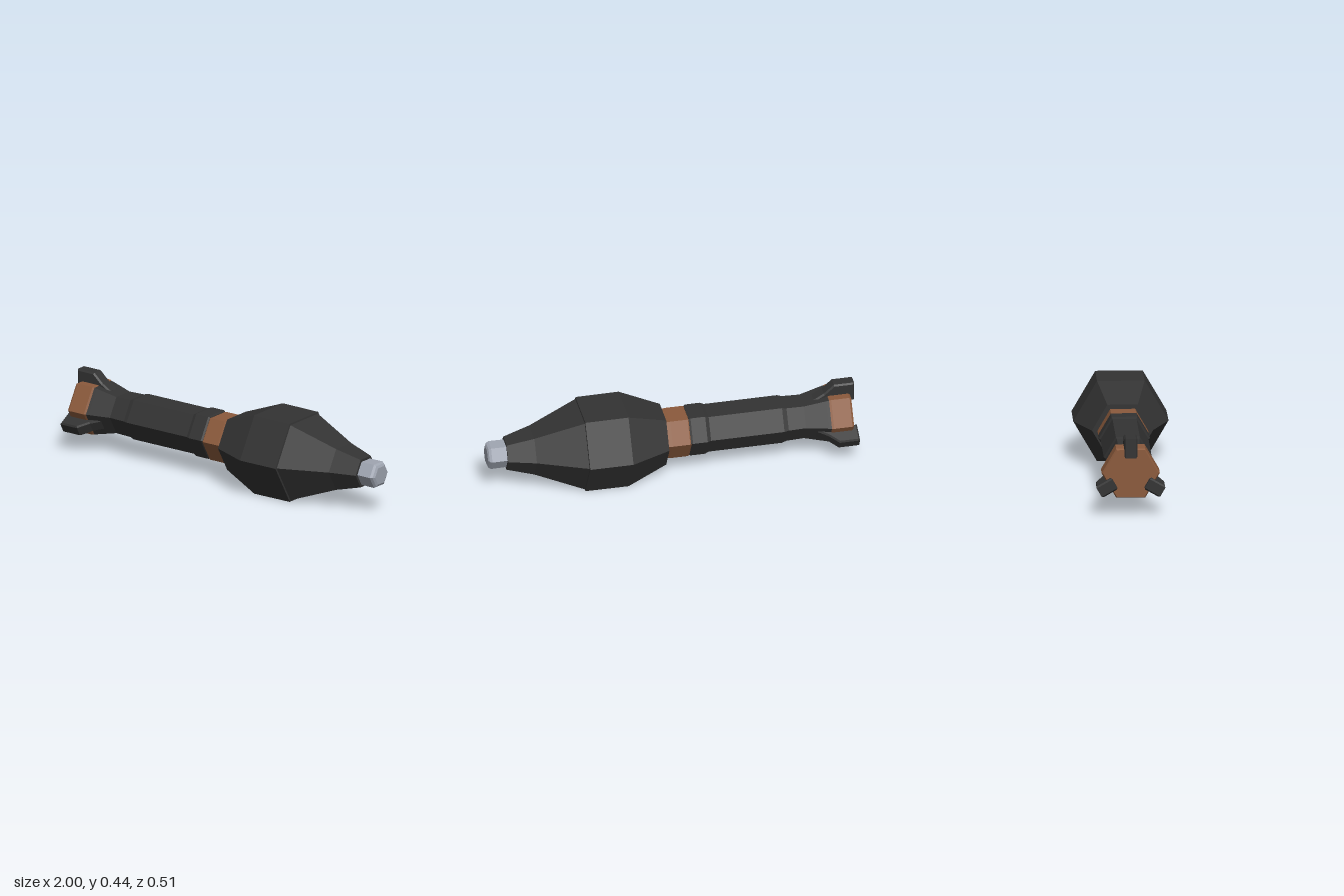
import * as THREE from 'three';

const material = (color) => new THREE.MeshStandardMaterial({ color, flatShading: true });

export function createModel() {
  const model = new THREE.Group();
  const dark = material(0x333333);
  const copper = material(0x8b5a3c);
  const steel = material(0xa0a6b2);
  const bodyY = 0.229, headY = 0.221;

  // Closed six-sided turned part along x; profile is [x, corner radius] from tail to nose
  function hexPart(name, mat, y, profile) {
    const last = profile.length - 1;
    const points = [[profile[0][0], 0], ...profile, [profile[last][0], 0]]
      .map(([x, r]) => new THREE.Vector2(r, x));
    const geometry = new THREE.LatheGeometry(points, 6);
    geometry.rotateZ(-Math.PI / 2);
    const mesh = new THREE.Mesh(geometry, mat);
    mesh.name = name;
    mesh.position.y = y;
    model.add(mesh);
  }

  // Tail, motor tube and collar
  hexPart('tailBand', copper, bodyY, [
    [-0.975, 0.148], [-0.965, 0.155], [-0.865, 0.155], [-0.85, 0.15],
  ]);
  hexPart('motorTube', dark, bodyY, [
    [-0.857, 0.152], [-0.84, 0.148], [-0.72, 0.117], [-0.625, 0.12],
    [-0.6, 0.128], [-0.2, 0.128], [-0.18, 0.137], [-0.1, 0.137], [-0.09, 0.132],
  ]);
  hexPart('neckBand', copper, 0.225, [
    [-0.095, 0.131], [-0.085, 0.135], [0.01, 0.135], [0.04, 0.131],
  ]);

  // Warhead and nose fuse
  hexPart('warhead', dark, headY, [
    [0.035, 0.163], [0.25, 0.254], [0.485, 0.253], [0.487, 0.243],
    [0.75, 0.132], [0.897, 0.089],
  ]);
  hexPart('noseFuse', steel, headY, [
    [0.89, 0.074], [0.98, 0.075], [0.993, 0.067], [1.0, 0.053],
  ]);

  // Three stabiliser fins around the tail, each with chamfered edges
  const bevel = 0.008, width = 0.07;
  function addFin(angle, inner) {
    const shape = new THREE.Shape([
      [-1, inner], [-0.78, inner], [-0.78, 0.115], [-0.835, 0.147],
      [-0.89, 0.196], [-1, 0.196],
    ].map(([x, r]) => new THREE.Vector2(x, r)));
    const geometry = new THREE.ExtrudeGeometry(shape, {
      depth: width - 2 * bevel, bevelEnabled: true, bevelSegments: 1,
      bevelSize: bevel, bevelThickness: bevel, bevelOffset: -bevel,
    });
    geometry.translate(0, 0, bevel - width / 2);
    const fin = new THREE.Mesh(geometry, dark);
    fin.name = 'tailFin';
    fin.rotation.x = angle;
    fin.position.y = bodyY;
    model.add(fin);
  }
  addFin(0, 0.088);
  for (const side of [-1, 1]) addFin(side * Math.PI * 2 / 3, 0.1);

  return model;
}
